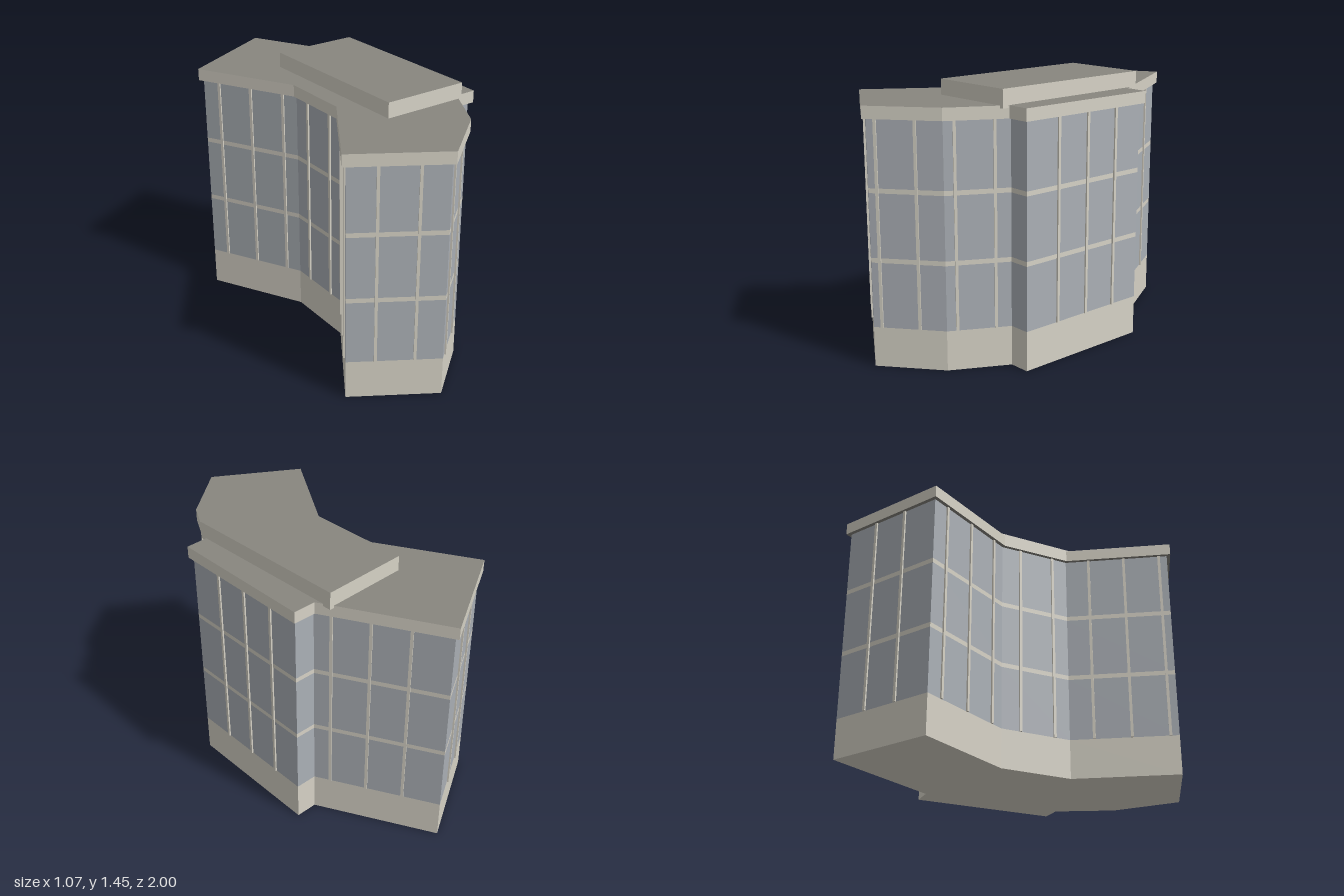
import * as THREE from 'three';

const material = (name, color) => {
  const m = new THREE.MeshStandardMaterial({ color });
  m.name = name;
  return m;
};

// Roof outline: x, z, then the first mullion's distance along the edge that
// starts here and how many mullions that edge carries.
const OUTLINE = [
  [-0.48, -0.70, 0.10, 3],
  [-0.20, -0.17, 0.11, 2],
  [-0.205, 0.22, 0.13, 3],
  [-0.535, 0.71, 0.15, 2],
  [-0.09, 0.995, 0.045, 2],
  [0.225, 0.745, 0.055, 2],
  [0.388, 0.46, 0, 0],
  [0.51, 0.46, 0.21, 3],
  [0.532, -0.37, 0, 0],
  [0.405, -0.375, 0.09, 3],
  [0.08, -1.0, 0.19, 2],
];
const OVERHANG = 0.02;
const SPACING = 0.2;
const BASE_TOP = 0.215, WALL_TOP = 1.3, ROOF_TOP = 1.365;

// Moves every edge of the outline inwards by d, keeping mitred corners
function inset(points, d) {
  const n = points.length;
  const normals = points.map((p, i) => {
    const e = points[(i + 1) % n].clone().sub(p).normalize();
    return new THREE.Vector2(-e.y, e.x);
  });
  return points.map((p, i) => {
    const a = normals[(i + n - 1) % n], b = normals[i];
    return p.clone().addScaledVector(a.clone().add(b), -d / (1 + a.dot(b)));
  });
}

// Upright prism over an (x, z) outline
function prism(name, points, bottom, top, materials) {
  const shape = new THREE.Shape(points.map((p) => new THREE.Vector2(p.x, -p.y)));
  const geometry = new THREE.ExtrudeGeometry(shape, { depth: top - bottom, bevelEnabled: false });
  geometry.rotateX(-Math.PI / 2);
  geometry.translate(0, bottom, 0);
  const mesh = new THREE.Mesh(geometry, materials);
  mesh.name = name;
  return mesh;
}

export function createModel() {
  const stone = material('pale stone', 0xd6d2c6);
  const glass = material('grey glass', 0xabb0b6);
  const roofing = material('roof grey', 0x88867f);

  const building = new THREE.Group();
  building.name = 'building';
  const roofLine = OUTLINE.map(([x, z]) => new THREE.Vector2(x, z));
  const wallLine = inset(roofLine, OVERHANG);

  // Plinth, then storeys of glass split by flush floor bands
  building.add(prism('plinth', wallLine, 0, BASE_TOP, stone));
  const levels = [BASE_TOP, 0.563, 0.588, 0.925, 0.95, WALL_TOP];
  for (let i = 0; i < levels.length - 1; i++) {
    const band = i % 2 === 1;
    building.add(prism(band ? 'floorBand' : 'glassStorey', wallLine,
      levels[i], levels[i + 1], band ? stone : glass));
  }

  // Overhanging cornice with its flat roof
  building.add(prism('corniceAndRoof', roofLine, WALL_TOP, ROOF_TOP, [roofing, stone]));

  // Raised plant room on the roof
  const plantRoom = [[-0.095, -0.46], [-0.095, 0.5], [0.385, 0.5], [0.385, -0.46]]
    .map(([x, z]) => new THREE.Vector2(x, z));
  building.add(prism('plantRoom', plantRoom, 1.352, 1.448, [roofing, stone]));

  // Vertical mullions along the walls
  const mullions = new THREE.Group();
  mullions.name = 'mullions';
  const bar = new THREE.BoxGeometry(0.015, WALL_TOP - BASE_TOP, 0.018);
  OUTLINE.forEach(([, , first, count], i) => {
    const start = wallLine[i];
    const along = wallLine[(i + 1) % wallLine.length].clone().sub(start).normalize();
    for (let k = 0; k < count; k++) {
      const p = start.clone().addScaledVector(along, first + k * SPACING);
      const mesh = new THREE.Mesh(bar, stone);
      mesh.name = 'mullion';
      mesh.position.set(p.x, (BASE_TOP + WALL_TOP) / 2, p.y);
      mesh.rotation.y = -Math.atan2(along.y, along.x);
      mullions.add(mesh);
    }
  });
  building.add(mullions);
  return building;
}
